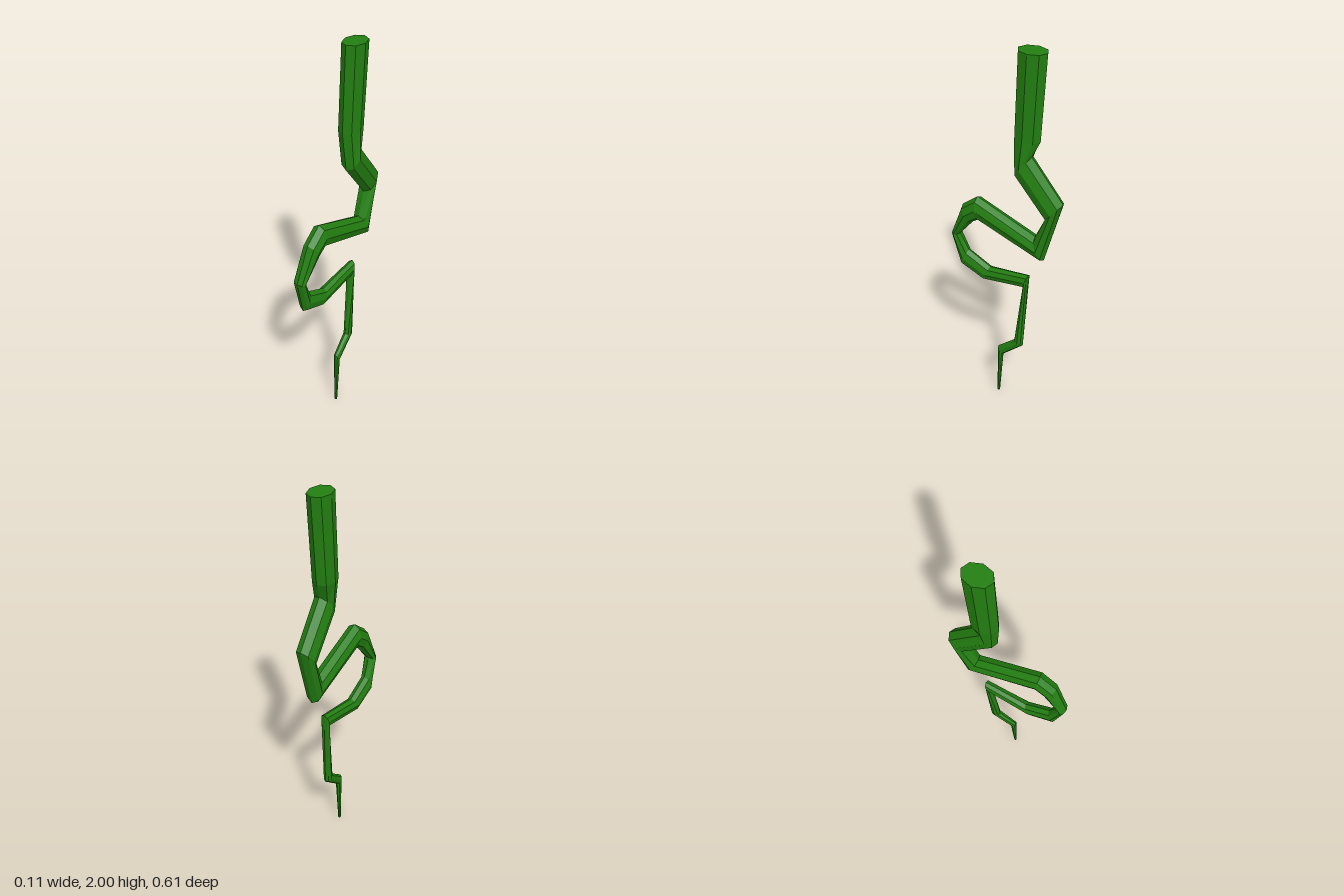
import * as THREE from 'three';

// Cross-sections from top to tip: near edge (z, y), far edge (z, y), centre x, half width in x
const RINGS = [
  [-0.06, 2.0, -0.2, 2.0, -0.003, 0.053],
  [-0.045, 1.59, -0.175, 1.59, -0.007, 0.053],
  [-0.06, 1.4, -0.14, 1.51, 0.005, 0.05],
  [-0.215, 1.21, -0.3, 1.31, -0.003, 0.047],
  [-0.165, 1.095, -0.215, 0.975, 0.004, 0.045],
  [0.15, 1.215, 0.14, 1.09, 0.007, 0.043],
  [0.235, 1.145, 0.18, 1.06, 0.006, 0.042],
  [0.305, 0.96, 0.265, 0.955, -0.005, 0.034],
  [0.26, 0.77, 0.22, 0.865, -0.012, 0.032],
  [0.13, 0.72, 0.095, 0.805, -0.013, 0.031],
  [-0.105, 0.765, -0.13, 0.845, -0.004, 0.025],
  [-0.06, 0.405, -0.11, 0.385, 0.006, 0.021],
  [0.035, 0.32, 0.005, 0.275, 0.011, 0.016],
  [0.04, 0.0, 0.025, 0.0, 0.014, 0.007],
];
const SIDES = 8;

// Skins the cross-sections into a closed octagonal tube
function vineGeometry() {
  const pos = [], index = [];
  for (const [z1, y1, z2, y2, cx, w] of RINGS) {
    for (let i = 0; i < SIDES; i++) {
      const a = (i / SIDES) * Math.PI * 2, c = Math.cos(a) / 2;
      pos.push(cx + w * Math.sin(a), (y1 + y2) / 2 + (y1 - y2) * c, (z1 + z2) / 2 + (z1 - z2) * c);
    }
  }
  const last = (RINGS.length - 1) * SIDES;
  for (let r = 0; r < last; r += SIDES) {
    for (let i = 0; i < SIDES; i++) {
      const j = (i + 1) % SIDES;
      const a = r + i, b = r + j, c = a + SIDES, d = b + SIDES;
      index.push(a, c, b, b, c, d);
    }
  }
  // End caps
  for (let i = 1; i < SIDES - 1; i++) {
    index.push(0, i, i + 1, last, last + i + 1, last + i);
  }
  const g = new THREE.BufferGeometry();
  g.setAttribute('position', new THREE.Float32BufferAttribute(pos, 3));
  g.setIndex(index);
  const flat = g.toNonIndexed();
  flat.computeVertexNormals();
  return flat;
}

export function createModel() {
  const group = new THREE.Group();
  group.name = 'hangingVine';
  const stem = new THREE.Mesh(
    vineGeometry(),
    new THREE.MeshStandardMaterial({ color: 0x237f11, flatShading: true })
  );
  stem.name = 'vineStem';
  group.add(stem);
  return group;
}
